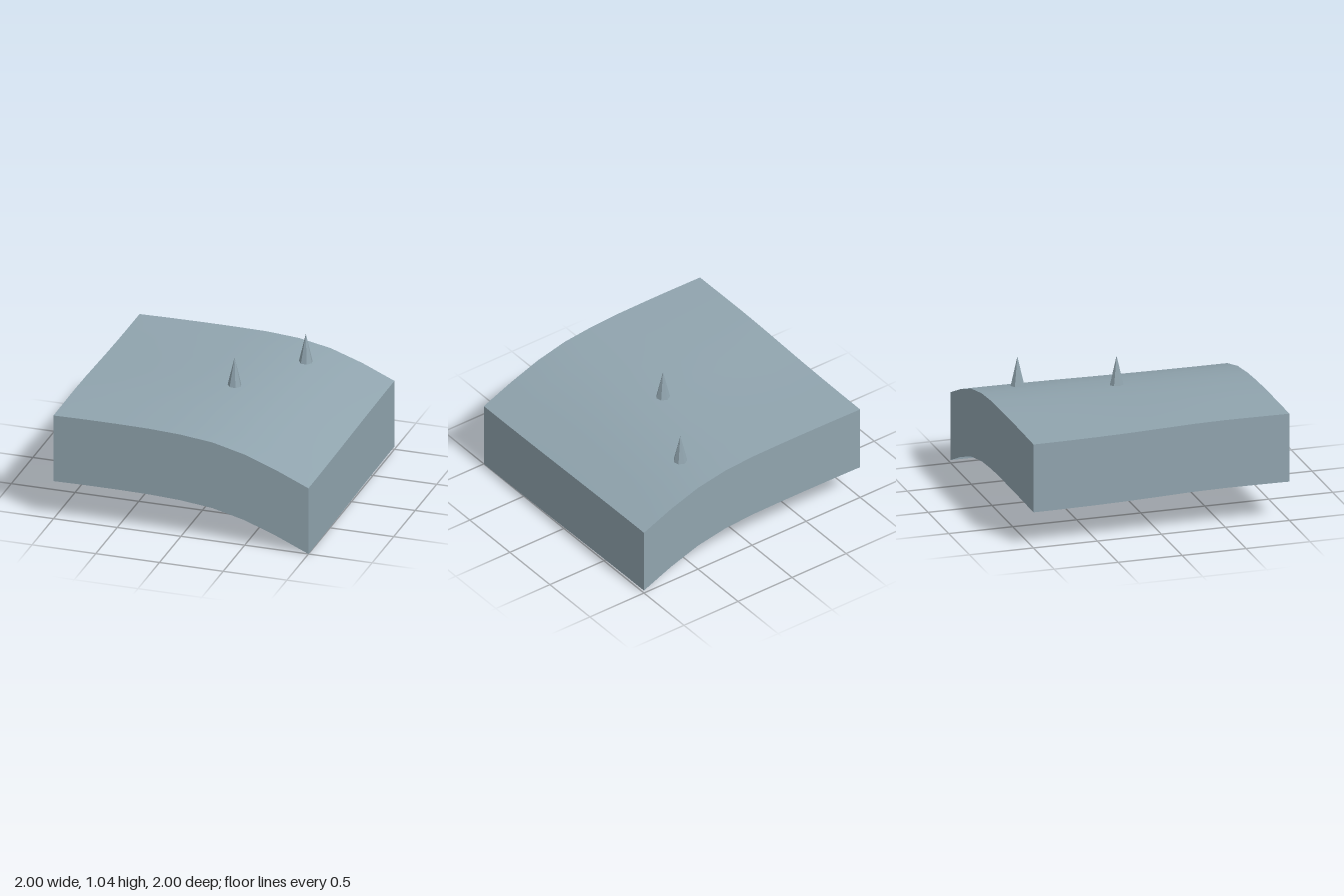
import * as THREE from 'three';

const SEG = 8;
const SKIRT = 0.535;
// heights along x (every 0.25) at the back and front edges
const BACK = [0.815, 0.819, 0.821, 0.821, 0.818, 0.8, 0.753, 0.667, 0.558];
const FRONT = [0.84, 0.843, 0.843, 0.84, 0.828, 0.8, 0.738, 0.645, 0.535];

// terrain height at grid column i and depth z
function height(i, z) {
  const x = -1 + (2 * i) / SEG;
  const t = THREE.MathUtils.smoothstep(z, -1, 1);
  const swell = 0.01 * Math.exp(-((z - 0.35) ** 2) / 0.2) * (1 - THREE.MathUtils.smoothstep(x, -0.6, 0.4));
  return THREE.MathUtils.lerp(BACK[i], FRONT[i], t) + swell;
}

// rolling top surface
function makeTerrain() {
  const geo = new THREE.PlaneGeometry(2, 2, SEG, SEG).rotateX(-Math.PI / 2);
  const pos = geo.attributes.position;
  for (let k = 0; k < pos.count; k++) pos.setY(k, height(k % (SEG + 1), pos.getZ(k)));
  geo.computeVertexNormals();
  return geo;
}

// vertical skirt strip that follows one edge; edge(k) gives [column, z]
function makeWall(edge) {
  const verts = [], index = [];
  for (let k = 0; k <= SEG; k++) {
    const [i, z] = edge(k);
    const x = -1 + (2 * i) / SEG, y = height(i, z);
    verts.push(x, y, z, x, y - SKIRT, z);
    if (k < SEG) {
      const a = 2 * k;
      index.push(a, a + 1, a + 2, a + 2, a + 1, a + 3);
    }
  }
  const geo = new THREE.BufferGeometry();
  geo.setAttribute('position', new THREE.Float32BufferAttribute(verts, 3));
  geo.setIndex(index);
  geo.computeVertexNormals();
  return geo;
}

export function createModel() {
  const group = new THREE.Group();
  group.name = 'terrainTile';
  const slate = new THREE.MeshStandardMaterial({ color: 0x90a4ae, side: THREE.DoubleSide });
  slate.name = 'slate';
  const facetedSlate = slate.clone();
  facetedSlate.name = 'facetedSlate';
  facetedSlate.flatShading = true;

  const add = (name, geo, mat = slate) => {
    const mesh = new THREE.Mesh(geo, mat);
    mesh.name = name;
    group.add(mesh);
    return mesh;
  };

  add('terrainTop', makeTerrain());

  // four skirt walls, open underneath
  const along = (k) => -1 + (2 * k) / SEG;
  add('frontWall', makeWall((k) => [k, 1]));
  add('backWall', makeWall((k) => [SEG - k, -1]));
  add('leftWall', makeWall((k) => [SEG, -along(k)]));
  add('rightWall', makeWall((k) => [0, along(k)]));

  // seven-sided spikes standing on the terrain
  for (const [x, y, z] of [[0.083, 0.817, 0], [0.417, 0.772, -0.667]]) {
    const geo = new THREE.ConeGeometry(0.053, 0.228, 7).rotateY(Math.PI);
    add('spike', geo, facetedSlate).position.set(x, y + 0.114, z);
  }
  return group;
}
